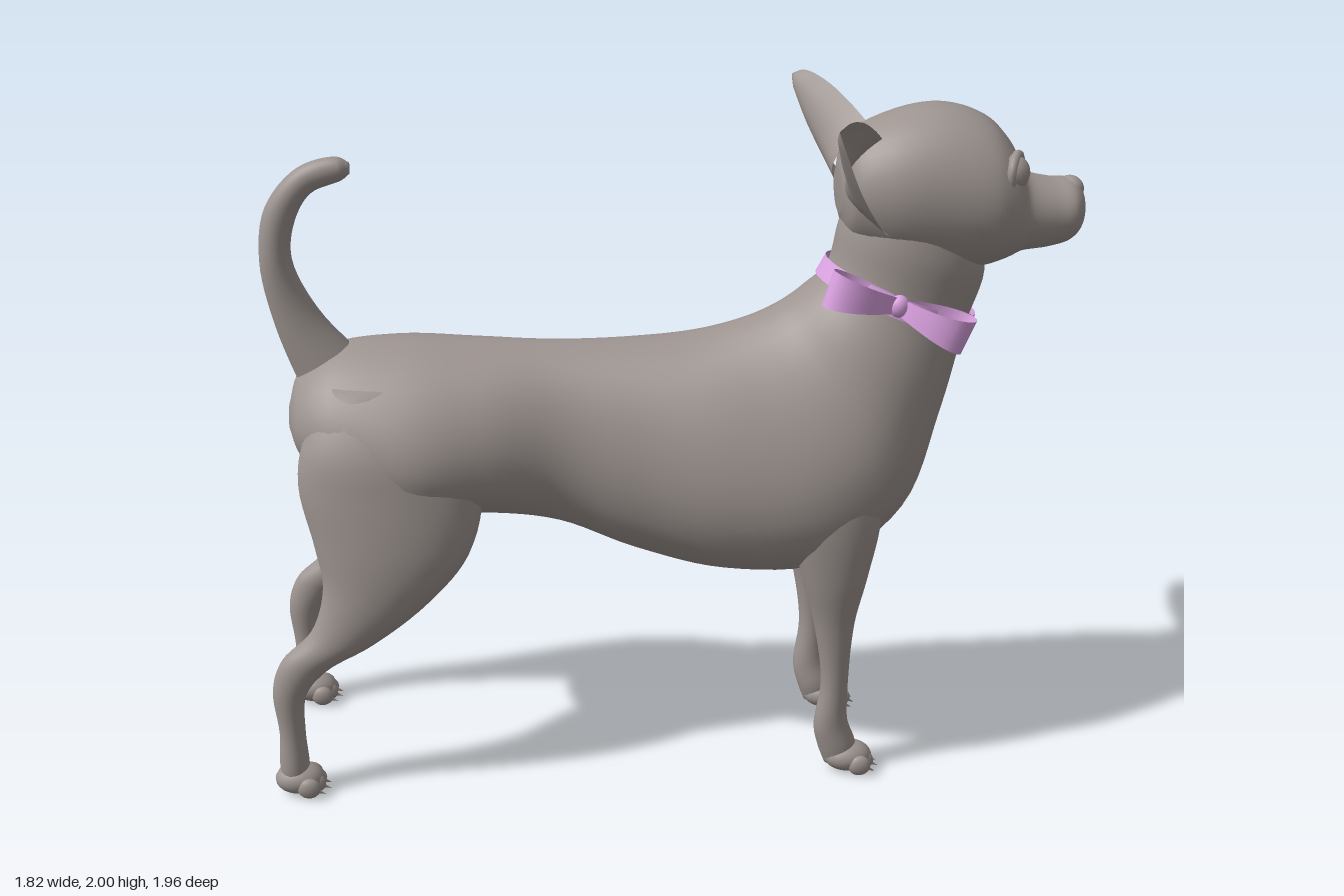
import * as THREE from 'three';
import { mergeVertices } from 'three/addons/utils/BufferGeometryUtils.js';

const V = (x, y, z) => new THREE.Vector3(x, y, z);
const coat = new THREE.MeshStandardMaterial({ color: 0x9d9490, side: THREE.DoubleSide });
coat.name = 'grey coat';
const ribbon = new THREE.MeshStandardMaterial({ color: 0xdba2e1, side: THREE.DoubleSide });
ribbon.name = 'lilac ribbon';
const metal = new THREE.MeshStandardMaterial({ color: 0x7d7080 });
metal.name = 'dark stud';

// Smooth surface from a function of two grid indices.
function grid(nu, nv, point) {
  const pos = [], index = [];
  for (let i = 0; i <= nu; i++)
    for (let j = 0; j <= nv; j++) pos.push(...point(i, j).toArray());
  for (let i = 0; i < nu; i++)
    for (let j = 0; j < nv; j++) {
      const a = i * (nv + 1) + j, b = a + nv + 1;
      index.push(a, b, a + 1, b, b + 1, a + 1);
    }
  let g = new THREE.BufferGeometry();
  g.setAttribute('position', new THREE.Float32BufferAttribute(pos, 3));
  g.setIndex(index);
  g = mergeVertices(g, 1e-5);
  g.computeVertexNormals();
  return g;
}

// Rings, each [z, y of one edge, z, y of the opposite edge, half width, x, fullness towards the second edge].
function loft(stations, side = 1, shift = 0, steps = 6, sides = 36) {
  const x = s => shift + side * s[5];
  const edgeA = new THREE.CatmullRomCurve3(stations.map(s => V(x(s), s[1], s[0])));
  const edgeB = new THREE.CatmullRomCurve3(stations.map(s => V(x(s), s[3], s[2])));
  const width = new THREE.CatmullRomCurve3(stations.map((s, i) => V(s[4], i * 0.1, s[6] ?? 0)));
  const n = (stations.length - 1) * steps;
  return grid(n + 2, sides, (i, j) => {
    const t = THREE.MathUtils.clamp((i - 1) / n, 0, 1);
    const a = edgeA.getPoint(t), b = edgeB.getPoint(t), w = width.getPoint(t);
    const mid = a.clone().add(b).multiplyScalar(0.5);
    if (i === 0 || i === n + 2) return mid;
    const ang = ((j % sides) / sides) * Math.PI * 2;
    const p = mid.clone().addScaledVector(a.sub(mid), Math.cos(ang));
    p.x += w.x * Math.sin(ang - w.z * Math.sin(ang));
    return p;
  });
}

function add(parent, name, geometry, material, position) {
  const m = new THREE.Mesh(geometry, material);
  m.name = name;
  if (position) m.position.set(...position);
  parent.add(m);
  return m;
}

const torso = [
  [-0.965, 1.12, -0.965, 1.04, 0.05, 0.06], [-0.935, 1.21, -0.935, 0.98, 0.16, 0.06, 0.1],
  [-0.84, 1.285, -0.84, 0.89, 0.25, 0.06, 0.2], [-0.65, 1.315, -0.62, 0.8, 0.305, 0.05, 0.25],
  [-0.42, 1.31, -0.42, 0.8, 0.255, 0.03, 0.15], [-0.2, 1.305, -0.2, 0.765, 0.2, 0.01, 0.05],
  [0, 1.31, 0.02, 0.68, 0.235, 0, 0.1], [0.2, 1.33, 0.28, 0.62, 0.29, -0.01, 0.2],
  [0.34, 1.37, 0.57, 0.64, 0.308, -0.02, 0.3], [0.43, 1.41, 0.8, 0.81, 0.288, -0.02, 0.25],
  [0.5, 1.46, 0.9, 1.1, 0.237, -0.025, 0.1], [0.56, 1.52, 0.965, 1.36, 0.172, -0.03],
  [0.59, 1.65, 1.005, 1.51, 0.168, -0.035], [0.63, 1.78, 0.98, 1.62, 0.15, -0.035],
];
const skull = [
  [0.58, 1.8, 0.585, 1.68, 0.06, -0.025], [0.61, 1.89, 0.615, 1.61, 0.14, -0.025],
  [0.72, 1.955, 0.71, 1.55, 0.185, -0.03], [0.86, 1.98, 0.85, 1.525, 0.2, -0.035],
  [0.98, 1.945, 0.98, 1.525, 0.2, -0.04], [1.05, 1.875, 1.05, 1.545, 0.175, -0.04],
  [1.09, 1.795, 1.09, 1.565, 0.137, -0.045], [1.17, 1.77, 1.17, 1.575, 0.114, -0.045],
  [1.23, 1.765, 1.225, 1.59, 0.102, -0.045], [1.26, 1.74, 1.255, 1.615, 0.07, -0.045],
  [1.27, 1.7, 1.268, 1.66, 0.03, -0.045],
];
const foreLeg = [
  [0.62, 1.12, 0.46, 1.12, 0.05, 0.19], [0.69, 0.97, 0.44, 0.96, 0.08, 0.206],
  [0.71, 0.84, 0.45, 0.81, 0.087, 0.21], [0.68, 0.65, 0.49, 0.65, 0.074, 0.21],
  [0.65, 0.5, 0.53, 0.5, 0.054, 0.205], [0.64, 0.3, 0.56, 0.3, 0.04, 0.2],
  [0.645, 0.17, 0.545, 0.15, 0.042, 0.195], [0.67, 0.1, 0.56, 0.08, 0.047, 0.19],
  [0.68, 0.05, 0.58, 0.025, 0.042, 0.19],
];
const hindLeg = [
  [-0.56, 1.22, -0.84, 1.22, 0.06, 0.14], [-0.46, 1.06, -0.92, 1.06, 0.11, 0.182],
  [-0.42, 0.92, -0.935, 0.94, 0.12, 0.2], [-0.46, 0.74, -0.9, 0.78, 0.112, 0.23],
  [-0.58, 0.6, -0.88, 0.65, 0.088, 0.255], [-0.74, 0.48, -0.92, 0.52, 0.062, 0.27],
  [-0.88, 0.4, -1.01, 0.43, 0.047, 0.275], [-0.945, 0.32, -1.04, 0.34, 0.042, 0.275],
  [-0.955, 0.2, -1.03, 0.2, 0.039, 0.275], [-0.95, 0.1, -1.035, 0.08, 0.045, 0.275],
  [-0.95, 0.05, -1.025, 0.025, 0.04, 0.275],
];
const tail = [
  [-0.91, 1.12, -0.75, 1.26, 0.085, 0.06], [-0.99, 1.36, -0.865, 1.4, 0.056, 0.055],
  [-1.02, 1.55, -0.93, 1.55, 0.047, 0.05], [-0.995, 1.7, -0.915, 1.66, 0.042, 0.05],
  [-0.9, 1.81, -0.865, 1.74, 0.036, 0.045], [-0.79, 1.84, -0.78, 1.775, 0.029, 0.04],
  [-0.757, 1.823, -0.757, 1.793, 0.014, 0.04],
];

// Paw with four toes and claws, pointing forward.
function paw(parent, name, x, z) {
  const g = new THREE.Group();
  g.name = name;
  g.position.set(x, 0, z);
  add(g, 'pad', new THREE.SphereGeometry(1, 20, 14), coat, [0, 0.046, 0]).scale.set(0.055, 0.046, 0.072);
  for (let i = 0; i < 4; i++) {
    const tx = (i - 1.5) * 0.031, tz = 0.05 - Math.abs(i - 1.5) * 0.014;
    add(g, 'toe', new THREE.SphereGeometry(1, 14, 10), coat, [tx, 0.034, tz]).scale.set(0.019, 0.032, 0.034);
    add(g, 'claw', new THREE.ConeGeometry(0.008, 0.03, 8), coat, [tx, 0.02, tz + 0.034]).rotation.x = 2;
  }
  parent.add(g);
}

// Cupped ear sheet between an outer and an inner edge, with a rounded tip.
function ear(side) {
  const edge = pts => new THREE.CatmullRomCurve3(pts.map(p => V(side * p[0] - 0.015, p[1], p[2])));
  const outer = edge([[0.17, 1.65, 0.7], [0.27, 1.69, 0.66], [0.335, 1.8, 0.59], [0.38, 1.92, 0.535], [0.385, 1.985, 0.51]]);
  const inner = edge([[0.09, 1.89, 0.69], [0.19, 1.945, 0.64], [0.28, 1.985, 0.59], [0.36, 2, 0.54], [0.385, 1.985, 0.51]]);
  return grid(20, 16, (i, j) => {
    const u = i / 20, v = j / 16, cup = Math.sin(v * Math.PI) * (1 - u);
    return outer.getPoint(u).lerp(inner.getPoint(u), v).add(V(-side * 0.03 * cup, 0, -0.11 * cup));
  });
}

// Ribbon loop flaring from the knot towards its end.
function bowLoop(from, to) {
  const dir = to.clone().sub(from), length = dir.length();
  dir.normalize();
  const out = dir.clone().cross(V(0, 1, 0)).normalize(), up = out.clone().cross(dir);
  return grid(32, 4, (i, j) => {
    const a = ((i % 32) / 32) * Math.PI * 2, k = (1 - Math.cos(a)) / 2;
    return from.clone().addScaledVector(dir, length * k)
      .addScaledVector(out, Math.sin(a) * 0.06 * Math.sqrt(k))
      .addScaledVector(up, (j / 2 - 1) * (0.022 + 0.03 * k));
  });
}

export function createModel() {
  const model = new THREE.Group();
  model.name = 'dog';
  const dog = new THREE.Group();
  dog.name = 'standingDog';
  dog.rotation.y = Math.PI / 4;
  model.add(dog);

  add(dog, 'torsoAndNeck', loft(torso), coat);
  add(dog, 'head', loft(skull), coat);
  add(dog, 'tail', loft(tail), coat);
  add(dog, 'nose', new THREE.SphereGeometry(1, 20, 14), coat, [-0.045, 1.735, 1.232]).scale.set(0.048, 0.037, 0.037);

  for (const side of [1, -1]) {
    const label = side > 0 ? 'left' : 'right';
    add(dog, label + 'FrontLeg', loft(foreLeg, side, -0.015), coat);
    add(dog, label + 'HindLeg', loft(hindLeg, side, 0.06), coat);
    paw(dog, label + 'FrontPaw', -0.022 + side * 0.19, 0.65);
    paw(dog, label + 'HindPaw', 0.055 + side * 0.272, -0.98);
    add(dog, label + 'Ear', ear(side), coat);
    // Eyeball with a raised lid around it
    const eye = new THREE.Group();
    eye.name = label + 'Eye';
    eye.position.set(-0.045 + side * 0.115, 1.812, 1.03);
    eye.rotation.y = side * 0.5;
    add(eye, 'eyeball', new THREE.SphereGeometry(0.05, 20, 14), coat);
    add(eye, 'eyelid', new THREE.TorusGeometry(0.05, 0.013, 8, 24), coat, [0, 0, 0.012]);
    dog.add(eye);
  }

  // Tilted collar with studs on the throat beside the bow
  const collar = new THREE.Group();
  collar.name = 'collar';
  collar.position.set(-0.03, 1.44, 0.763);
  collar.rotation.x = 0.37;
  dog.add(collar);
  add(collar, 'band', new THREE.CylinderGeometry(1, 1.03, 0.058, 48, 1, true), ribbon).scale.set(0.188, 1, 0.23);
  for (const a of [-0.62, -0.3, 0.02])
    add(collar, 'stud', new THREE.SphereGeometry(0.012, 10, 8), metal, [Math.sin(a) * 0.189, 0, Math.cos(a) * 0.231]);

  // Bow on the right of the neck
  const knot = V(-0.22, 1.46, 0.73);
  add(dog, 'bowFrontLoop', bowLoop(knot, V(-0.275, 1.385, 0.915)), ribbon);
  add(dog, 'bowBackLoop', bowLoop(knot, V(-0.23, 1.52, 0.53)), ribbon);
  add(dog, 'bowKnot', new THREE.SphereGeometry(1, 16, 12), ribbon, knot.toArray()).scale.set(0.024, 0.032, 0.028);
  return model;
}
